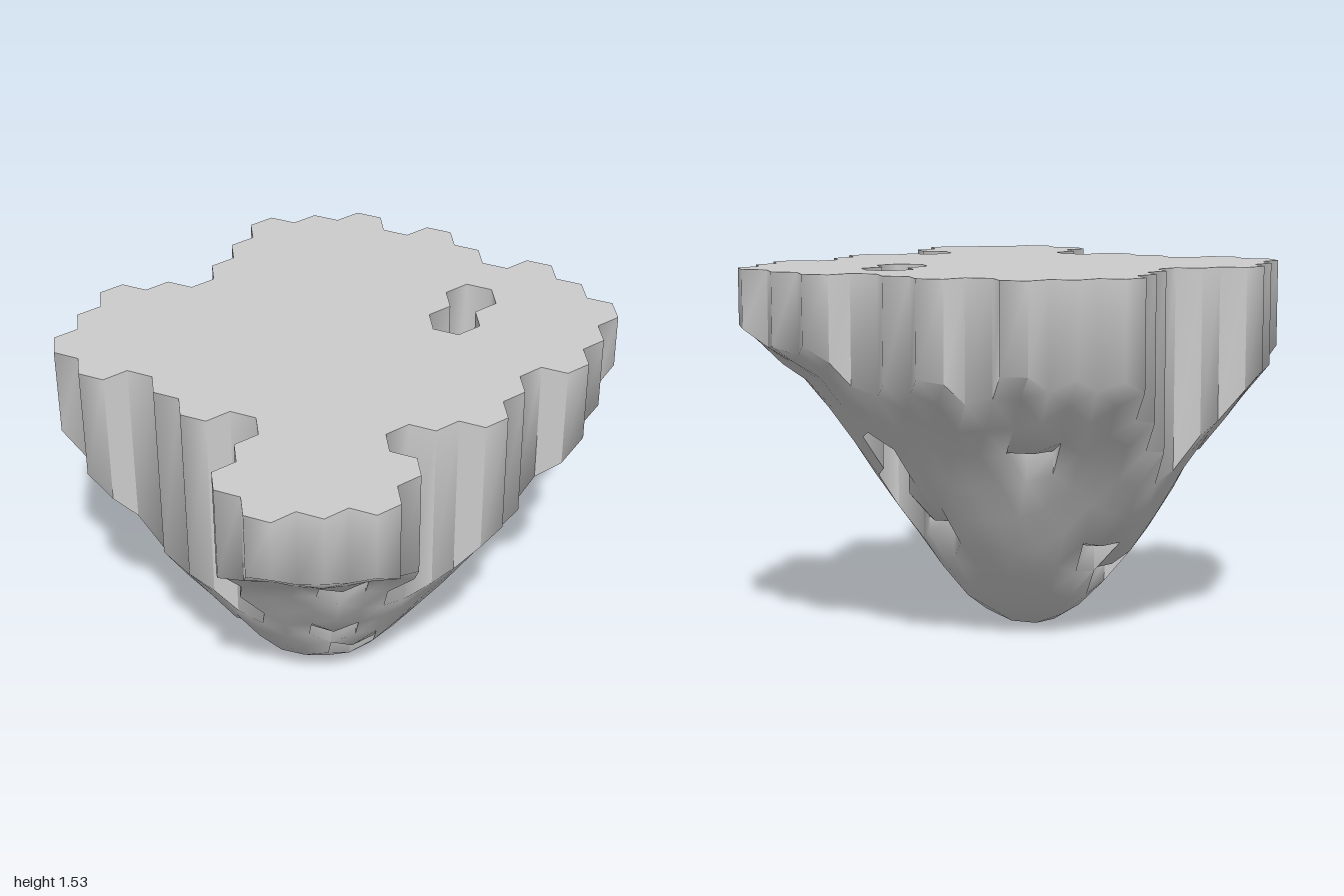
import * as THREE from 'three';
import { toCreasedNormals } from 'three/addons/utils/BufferGeometryUtils.js';

const S = 2 / 18.5;              // hexagon side
const W = S * Math.sqrt(3);      // hexagon width
const TOP = 1.53;
const APEX = [-W / 4, S * 1.25]; // lowest point of the rock

// First and last cell of every hexagon row, back to front
const ROWS = [[0, 2], [-3, 2], [-4, 3], [-5, 2], [-5, 3], [-5, 3],
  [-4, 3], [-4, 2], [-4, 4], [-5, 4], [-4, 4], [-4, 3]];
// Missing cells (row, cell): the shaft and the front inlet
const GAPS = ['2,0', '3,0', '10,1', '11,-2', '11,-1', '11,0', '11,1'];
// Cells with a small recess in the underside
const PITS = ['9,-1', '10,-2', '9,-4', '9,3', '8,2', '7,1', '4,2', '3,-4', '3,-1', '6,-3', '7,-3'];
// Steps (row, half cell) to the neighbour across each hexagon side
const STEPS = [[1, 1], [0, 2], [-1, 1], [-1, -1], [0, -2], [1, -1]];

// Height of the underside by distance from the lowest point
const PROFILE = [[0, 0], [0.11, 0.025], [0.2, 0.08], [0.3, 0.17], [0.46, 0.38],
  [0.64, 0.66], [0.75, 0.82], [0.94, 1.07], [1.13, 1.23], [1.4, 1.4]];

function bottomY(x, z) {
  const r = Math.hypot(x - APEX[0], z - APEX[1]);
  let i = 1;
  while (i < PROFILE.length - 1 && r > PROFILE[i][0]) i++;
  const [r0, y0] = PROFILE[i - 1], [r1, y1] = PROFILE[i];
  const y = y0 + (y1 - y0) * (r - r0) / (r1 - r0);
  // gentle lumps that fade out at the tip
  return y + 0.02 * Math.min(1, r * 2) * Math.sin(x * 13 + 1) * Math.sin(z * 11);
}

// Collects triangles and quads, corners counter-clockwise from outside
function collector() {
  const positions = [];
  const tri = (a, b, c) => positions.push(...a, ...b, ...c);
  const quad = (a, b, c, d) => { tri(a, b, c); tri(a, c, d); };
  const geometry = () => {
    const g = new THREE.BufferGeometry();
    g.setAttribute('position', new THREE.Float32BufferAttribute(positions, 3));
    return toCreasedNormals(g, 1.15);
  };
  return { tri, quad, geometry };
}

function createCells() {
  const cells = new Map();
  ROWS.forEach(([first, last], row) => {
    for (let n = first; n <= last; n++) {
      if (GAPS.includes(`${row},${n}`)) continue;
      const half = 2 * n + (row % 2);
      cells.set(`${row},${half}`, {
        row, half,
        x: W * (0.25 + half / 2),
        z: -1 + S + row * 1.5 * S,
        pit: PITS.includes(`${row},${n}`),
      });
    }
  });
  return cells;
}

export function createModel() {
  const group = new THREE.Group();
  group.name = 'floatingIsland';
  const material = new THREE.MeshStandardMaterial({ color: 0xcccccc, side: THREE.DoubleSide });
  const ground = collector();
  const rock = collector();
  const cells = createCells();

  for (const { row, half, x, z, pit } of cells.values()) {
    const corners = STEPS.map((_, i) => {
      const a = i * Math.PI / 3;
      return [x + S * Math.sin(a), z + S * Math.cos(a)];
    });
    const centreY = bottomY(x, z);
    const ceiling = ([px, pz]) => Math.max(bottomY(px, pz), pit ? centreY : 0);

    STEPS.forEach(([dRow, dHalf], i) => {
      const a = corners[i], b = corners[(i + 1) % 6];
      const at = (p, y) => [p[0], y, p[1]];
      // level ground
      ground.tri([x, TOP, z], at(a, TOP), at(b, TOP));
      // underside
      rock.tri([x, centreY, z], at(b, ceiling(b)), at(a, ceiling(a)));
      // cliff wall along the open sides
      if (!cells.has(`${row + dRow},${half + dHalf}`)) {
        rock.quad(at(a, ceiling(a)), at(b, ceiling(b)), at(b, TOP), at(a, TOP));
      } else if (pit) {
        // inner wall of a recess
        const ya = bottomY(...a), yb = bottomY(...b);
        if (ceiling(a) > ya) rock.tri(at(b, yb), at(a, ya), at(a, ceiling(a)));
        if (ceiling(b) > yb) rock.tri(at(b, yb), at(a, ceiling(a)), at(b, ceiling(b)));
      }
    });
  }

  for (const [name, part] of [['groundTop', ground], ['rockBody', rock]]) {
    const mesh = new THREE.Mesh(part.geometry(), material);
    mesh.name = name;
    group.add(mesh);
  }
  return group;
}
